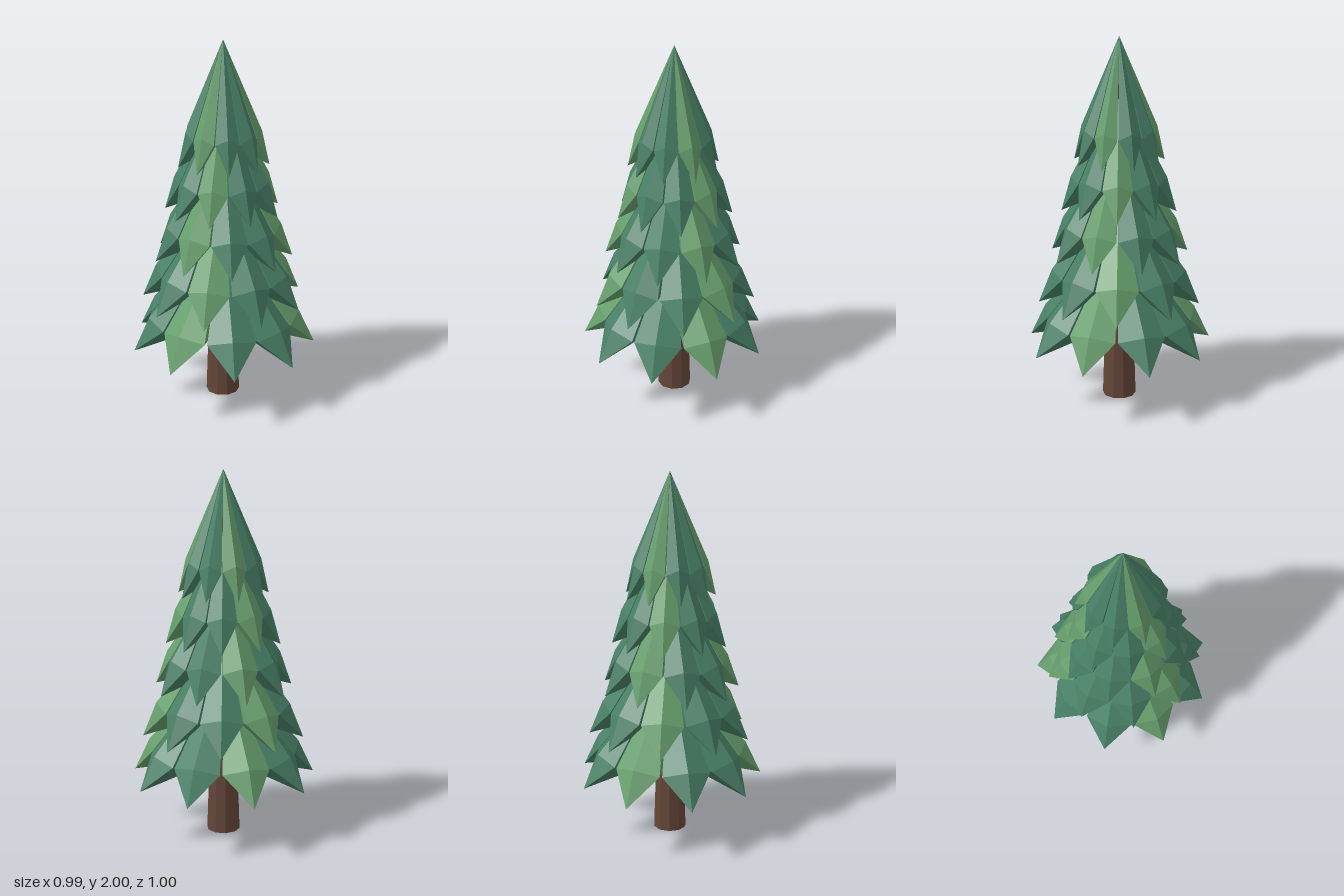
import * as THREE from 'three';

const TIERS = 5;
const BOUGHS = 9;
const rad = THREE.MathUtils.degToRad;

// One faceted bough pointing along +z: a ridged outer face and a sloping underside
function boughGeometry(R) {
  const half = (s) => {
    const apex = [0, 0.66, 0];
    const ridge = [0, 0.185, 0.83 * R];
    const tip = [0, 0, R];
    const side = [s * 0.255 * R, 0.155, 0.74 * R];
    const root = [0, 0.1, 0.03];
    const faces = [
      [apex, ridge, side],
      [ridge, tip, side],
      [root, side, tip],
      [apex, side, root],
    ];
    return faces.flatMap((f) => (s > 0 ? f : [...f].reverse())).flat();
  };
  const geometry = new THREE.BufferGeometry();
  geometry.setAttribute('position', new THREE.Float32BufferAttribute([...half(1), ...half(-1)], 3));
  geometry.computeVertexNormals();
  return geometry;
}

function material(name, color) {
  const m = new THREE.MeshStandardMaterial({ color, flatShading: true });
  m.name = name;
  return m;
}

export function createModel() {
  const bark = material('bark brown', 0x654638);
  const green = material('needle green', 0x488066);
  const lightGreen = material('light needle green', 0x669e6c);

  const tree = new THREE.Group();
  tree.name = 'pineTree';
  tree.position.set(0.011, 0, 0.0045);

  // Tapering trunk
  const trunk = new THREE.Mesh(new THREE.CylinderGeometry(0.033, 0.092, 1.75, 10), bark);
  trunk.name = 'trunk';
  trunk.position.y = 0.875;
  tree.add(trunk);

  // Tiers of boughs, each one staggered by half a step; every third bough is lighter
  for (let t = 0; t < TIERS; t++) {
    const tier = new THREE.Group();
    tier.name = `tier${t + 1}`;
    tier.position.y = 0.31 + t * 0.2575;
    const geometry = boughGeometry(0.507 - t * 0.0655);
    for (let i = 0; i < BOUGHS; i++) {
      const angle = 102.8 - (t % 2) * 20 + (i * 360) / BOUGHS;
      const bough = new THREE.Mesh(geometry, i % 3 === 0 ? lightGreen : green);
      bough.name = 'bough';
      bough.rotation.y = rad(90 - angle);
      tier.add(bough);
    }
    tree.add(tier);
  }

  const model = new THREE.Group();
  model.name = 'model';
  model.add(tree);
  return model;
}
